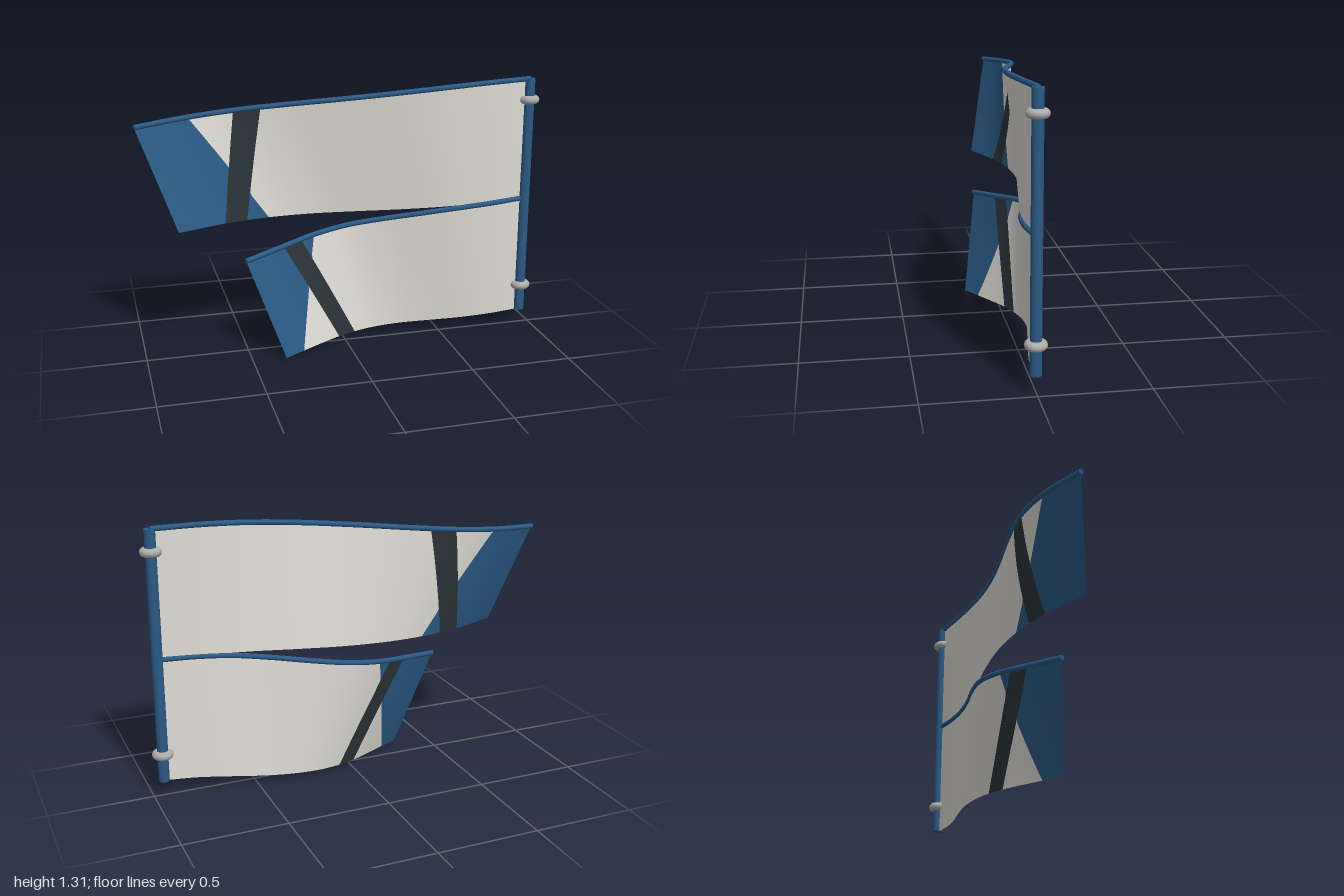
import * as THREE from 'three';

const MAST_X = 0.948;

function material(name, color, double = false) {
  const m = new THREE.MeshStandardMaterial({ color });
  m.name = name;
  if (double) m.side = THREE.DoubleSide;
  return m;
}

// Curve through heights and depths spaced evenly from the free end to the mast
function edgeCurve(x0, ys, zs) {
  const n = ys.length - 1;
  return new THREE.CatmullRomCurve3(
    ys.map((y, i) => new THREE.Vector3(x0 + ((MAST_X - x0) * i) / n, y, zs[i])), false, 'catmullrom', 0.5);
}

// Cloth panel between two x limits, each a function of v (0 top, 1 bottom)
function clothPatch(top, bottom, x0, from, to, cols) {
  const rows = 28, pos = [], index = [];
  for (let j = 0; j <= rows; j++) {
    const v = j / rows, xl = THREE.MathUtils.lerp(x0[0], x0[1], v);
    for (let i = 0; i <= cols; i++) {
      const x = THREE.MathUtils.lerp(from(v), to(v), i / cols);
      const u = THREE.MathUtils.clamp((x - xl) / (MAST_X - xl), 0, 1);
      const p = top.getPoint(u).lerp(bottom.getPoint(u), v);
      pos.push(p.x, p.y, p.z);
      if (i < cols && j < rows) {
        const a = j * (cols + 1) + i, b = a + cols + 1;
        index.push(a, b, a + 1, b, b + 1, a + 1);
      }
    }
  }
  const g = new THREE.BufferGeometry();
  g.setAttribute('position', new THREE.Float32BufferAttribute(pos, 3));
  g.setIndex(index);
  g.computeVertexNormals();
  return g;
}

export function createModel() {
  const blue = material('blue', 0x2b5a85);
  const cloth = material('pale cloth', 0xdddbd4, true);
  const blueCloth = material('blue cloth', 0x2b5a85, true);
  const darkCloth = material('dark cloth', 0x2b3338, true);
  const metal = material('ring grey', 0xadadab);
  const model = new THREE.Group();
  model.name = 'sailsOnMast';

  function add(parent, name, geometry, mat, x = 0, y = 0, z = 0) {
    const mesh = new THREE.Mesh(geometry, mat);
    mesh.name = name;
    mesh.position.set(x, y, z);
    parent.add(mesh);
    return mesh;
  }

  // Upright mast with two rings
  add(model, 'mast', new THREE.CylinderGeometry(0.026, 0.026, 1.225, 24), blue, MAST_X, 0.6925, 0);
  for (const y of [1.2, 0.217]) {
    const ring = add(model, 'mastRing', new THREE.TorusGeometry(0.03, 0.021, 12, 32), metal, MAST_X, y, 0);
    ring.rotation.x = Math.PI / 2;
  }

  const sails = [
    {
      name: 'upperSail', x0: [-0.995, -0.82],
      topY: [1.155, 1.175, 1.197, 1.22, 1.243, 1.265, 1.284, 1.297, 1.304],
      topZ: [-0.05, -0.116, -0.127, -0.085, -0.028, 0.017, 0.037, 0.027, 0],
      bottomY: [0.66, 0.66, 0.66, 0.66, 0.661, 0.665, 0.672, 0.68, 0.69],
      bottomZ: [0.046, -0.04, -0.09, -0.1, -0.078, -0.04, -0.005, 0.008, 0],
      stripe: [[-0.52, -0.586], [-0.39, -0.475]], corner: [-0.74, -0.365],
    },
    {
      name: 'lowerSail', x0: [-0.51, -0.335],
      topY: [0.5, 0.527, 0.555, 0.583, 0.61, 0.637, 0.661, 0.677, 0.69],
      topZ: [0.072, -0.005, -0.08, -0.107, -0.08, -0.034, 0.002, 0.013, 0],
      bottomY: [0.005, 0.012, 0.018, 0.024, 0.031, 0.039, 0.051, 0.066, 0.08],
      bottomZ: [0.145, 0.057, -0.025, -0.072, -0.079, -0.057, -0.025, -0.002, 0],
      stripe: [[-0.31, -0.027], [-0.213, 0.064]], corner: [-0.14, -0.235],
    },
  ];

  for (const s of sails) {
    const sail = new THREE.Group();
    sail.name = s.name;
    model.add(sail);
    const top = edgeCurve(s.x0[0], s.topY, s.topZ);
    const bottom = edgeCurve(s.x0[1], s.bottomY, s.bottomZ);
    const line = ([a, b]) => (v) => THREE.MathUtils.lerp(a, b, v);
    const free = line(s.x0), s0 = line(s.stripe[0]), s1 = line(s.stripe[1]), corner = line(s.corner);
    const before = (v) => Math.min(corner(v), s0(v));
    const after = (v) => Math.max(corner(v), s1(v));

    // Cloth split into colour panels
    const panels = [
      ['blueEnd', free, before, blueCloth, 12],
      ['paleWedge', before, s0, cloth, 6],
      ['darkStripe', s0, s1, darkCloth, 6],
      ['blueWedge', s1, after, blueCloth, 6],
      ['paleCloth', after, () => MAST_X, cloth, 48],
    ];
    for (const [name, from, to, mat, cols] of panels) {
      add(sail, name, clothPatch(top, bottom, s.x0, from, to, cols), mat);
    }

    // Curved rod along the top edge, with closed ends
    add(sail, 'topRod', new THREE.TubeGeometry(top, 64, 0.013, 12), blue);
    for (const t of [0, 1]) {
      const p = top.getPoint(t);
      const cap = add(sail, 'rodEnd', new THREE.CircleGeometry(0.013, 12), blue, p.x, p.y, p.z);
      cap.lookAt(p.clone().addScaledVector(top.getTangent(t), t ? 1 : -1));
    }
  }
  return model;
}
